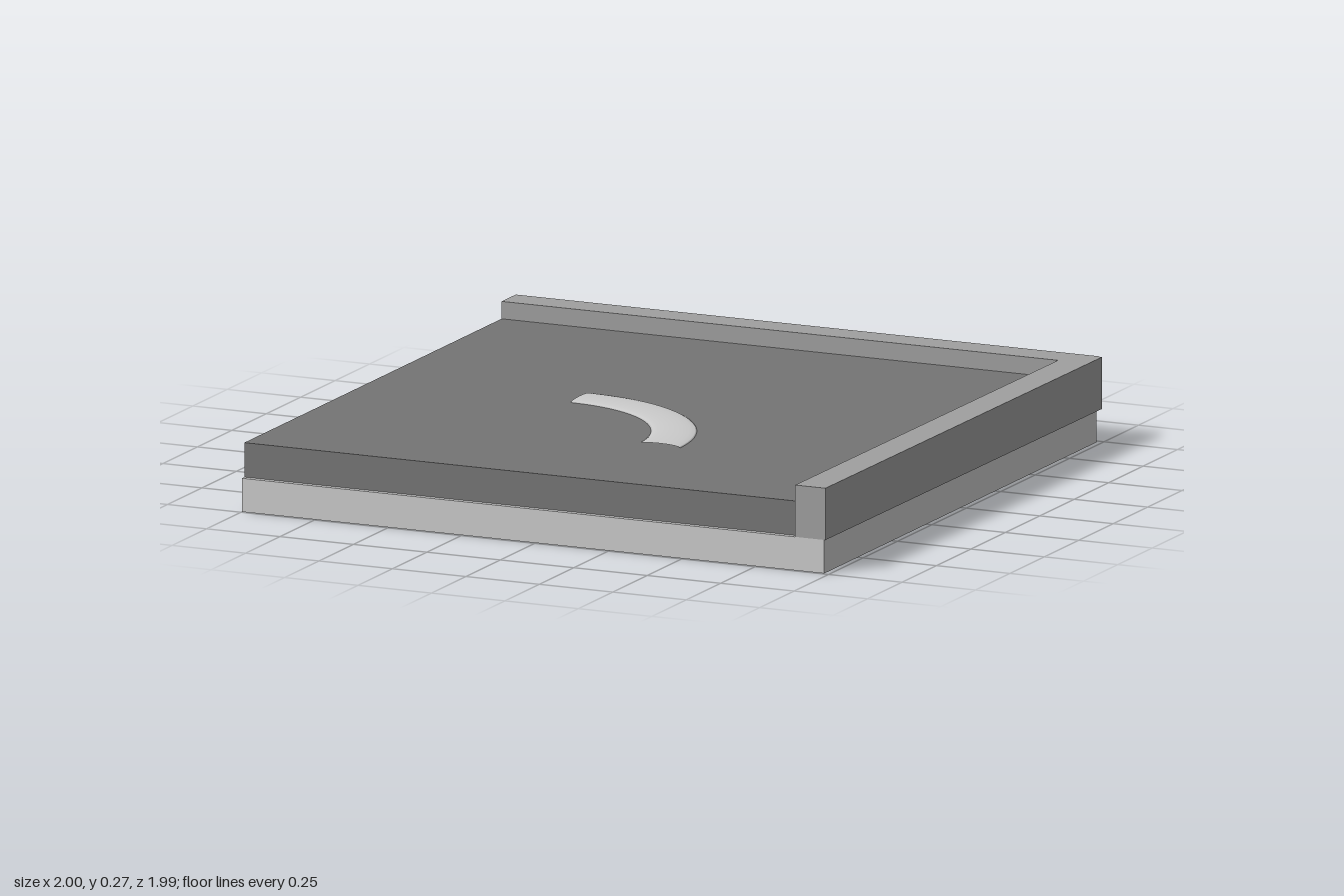
import * as THREE from 'three';

const paint = (color) => new THREE.MeshStandardMaterial({ color });

// Prism with a plan outline of [x, z] corners, standing between two heights
function prism(name, corners, y0, y1, material) {
  const shape = new THREE.Shape(corners.map(([x, z]) => new THREE.Vector2(x, -z)));
  const geometry = new THREE.ExtrudeGeometry(shape, { depth: y1 - y0, bevelEnabled: false });
  geometry.rotateX(-Math.PI / 2).translate(0, y0, 0);
  const mesh = new THREE.Mesh(geometry, material);
  mesh.name = name;
  return mesh;
}

const rect = (x0, x1, z0, z1) => [[x0, z1], [x1, z1], [x1, z0], [x0, z0]];

export function createModel() {
  const group = new THREE.Group();
  group.name = 'floorTile';
  const light = paint(0xcccccc);
  const mid = paint(0xa0a0a0);
  const dark = paint(0x757575);

  // Base plate and the darker floor slab on it
  group.add(prism('base', rect(-1, 0.982, -0.985, 0.993), 0, 0.106, light));
  group.add(prism('floorSlab', rect(-1, 0.89, -0.9, 0.975), 0.106, 0.215, dark));

  // Raised borders; the side one is very slightly askew
  group.add(prism('backBorder', rect(-1, 0.984, -0.995, -0.892), 0.106, 0.27, mid));
  const side = [[0.883, 0.993], [0.986, 0.993], [0.998, -0.99], [0.895, -0.99]];
  group.add(prism('sideBorder', side, 0.106, 0.27, mid));

  // Shallow domed quarter arc lying on the floor
  const arc = new THREE.TorusGeometry(0.49, 0.07, 16, 24, Math.PI / 2);
  arc.scale(1.015, 0.993, 0.11).rotateX(-Math.PI / 2);
  const marking = new THREE.Mesh(arc, light);
  marking.name = 'curvedMarking';
  marking.position.set(-0.322, 0.215, 0.47);
  group.add(marking);

  return group;
}
